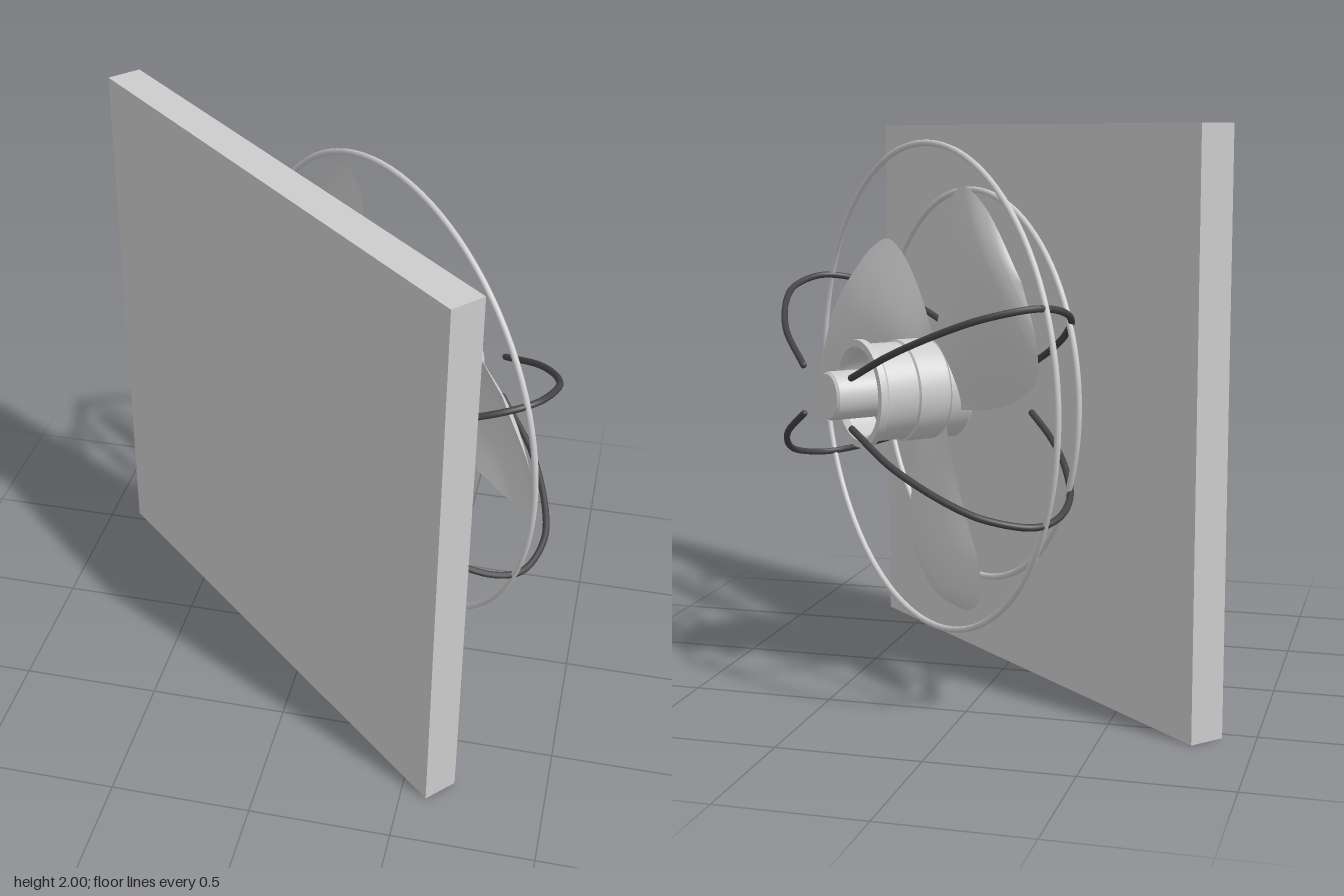
import * as THREE from 'three';
import { toCreasedNormals } from 'three/addons/utils/BufferGeometryUtils.js';
import { ParametricGeometry } from 'three/addons/geometries/ParametricGeometry.js';

const grey = new THREE.MeshStandardMaterial({ color: 0xcccccc });
const thin = new THREE.MeshStandardMaterial({ color: 0xcccccc, side: THREE.DoubleSide });
const dark = new THREE.MeshStandardMaterial({ color: 0x444444 });

function add(parent, name, geometry, material = grey) {
  const mesh = new THREE.Mesh(geometry, material);
  mesh.name = name;
  parent.add(mesh);
  return mesh;
}

// Turned part with its axis along z; points are [radius, z]
function turned(points) {
  const profile = points.map(([r, z]) => new THREE.Vector2(r, z));
  return toCreasedNormals(new THREE.LatheGeometry(profile, 48).rotateX(Math.PI / 2), 0.5);
}

const spline = (points) =>
  new THREE.CatmullRomCurve3(points.map(([a, b, c = 0]) => new THREE.Vector3(a, b, c)));

// Cambered, pitched blade spanned between its two edges, growing along +y
function bladeGeometry() {
  const trailing = spline([[0.13, 0.1], [0.21, 0.3], [0.25, 0.5], [0.23, 0.62], [0.12, 0.7], [-0.05, 0.75]]);
  const leading = spline([[-0.13, 0.1], [-0.19, 0.23], [-0.32, 0.4], [-0.45, 0.56],
    [-0.455, 0.66], [-0.34, 0.73], [-0.05, 0.75]]);
  const a = new THREE.Vector3(), b = new THREE.Vector3();
  return new ParametricGeometry((u, v, target) => {
    leading.getPoint(v, a);
    trailing.getPoint(v, b);
    target.lerpVectors(a, b, u);
    target.z = -0.02 - 0.15 * target.x + 0.06 * Math.sin(Math.PI * u) * Math.sin(Math.PI * v);
  }, 16, 40);
}

export function createModel() {
  const model = new THREE.Group();
  model.name = 'wallFan';

  // Square wall panel
  const panel = add(model, 'wallPanel', new THREE.BoxGeometry(2, 2, 0.13));
  panel.position.set(-0.105, 1, 0.085);
  panel.rotation.y = Math.atan2(0.6725, -0.74);

  // Fan, with local +z pointing away from the panel
  const fan = new THREE.Group();
  fan.name = 'fan';
  fan.position.set(0.235, 1.07, -0.163);
  fan.rotation.y = Math.atan2(0.70, -0.714);
  model.add(fan);

  // Motor housing with a recessed rear end
  add(fan, 'motorHousing', turned([
    [0, -0.13], [0.1, -0.13], [0.115, -0.1], [0.16, -0.1], [0.18, -0.08],
    [0.18, 0], [0.176, 0.003], [0.176, 0.007], [0.18, 0.01], [0.18, 0.12],
    [0.172, 0.125], [0.172, 0.24], [0.19, 0.255], [0.19, 0.28],
    [0.165, 0.28], [0.15, 0.26], [0.15, 0.16], [0, 0.16],
  ]));
  add(fan, 'shaft', turned([[0.085, 0.15], [0.085, 0.385], [0.077, 0.394], [0, 0.394]]));

  // Three blades
  const blade = bladeGeometry();
  for (let i = 0; i < 3; i++) {
    add(fan, 'blade', blade, thin).rotation.z = -Math.PI / 3 + i * Math.PI * 2 / 3;
  }

  // Two guard rings
  for (const [name, radius, z] of [['largeGuardRing', 0.865, 0], ['smallGuardRing', 0.7, -0.185]]) {
    add(fan, name, new THREE.TorusGeometry(radius, 0.011, 12, 96)).position.z = z;
  }

  // Four curved guard wires in radial planes
  const wire = spline([
    [0.213, 0, 0.395], [0.466, 0, 0.358], [0.695, 0, 0.261], [0.794, 0, 0.183], [0.863, 0, 0.045],
    [0.84, 0, -0.056], [0.74, 0, -0.168], [0.546, 0, -0.259], [0.376, 0, -0.3], [0.217, 0, -0.314],
  ]);
  const wireGeometry = new THREE.TubeGeometry(wire, 64, 0.012, 10);
  const ends = [wire.getPoint(0), wire.getPoint(1)];
  const capGeometry = new THREE.SphereGeometry(0.012, 10, 6);
  for (const degrees of [24, 156, 204, 336]) {
    const guardWire = add(fan, 'guardWire', wireGeometry, dark);
    guardWire.rotation.z = THREE.MathUtils.degToRad(degrees);
    for (const end of ends) add(guardWire, 'wireEnd', capGeometry, dark).position.copy(end);
  }

  return model;
}
